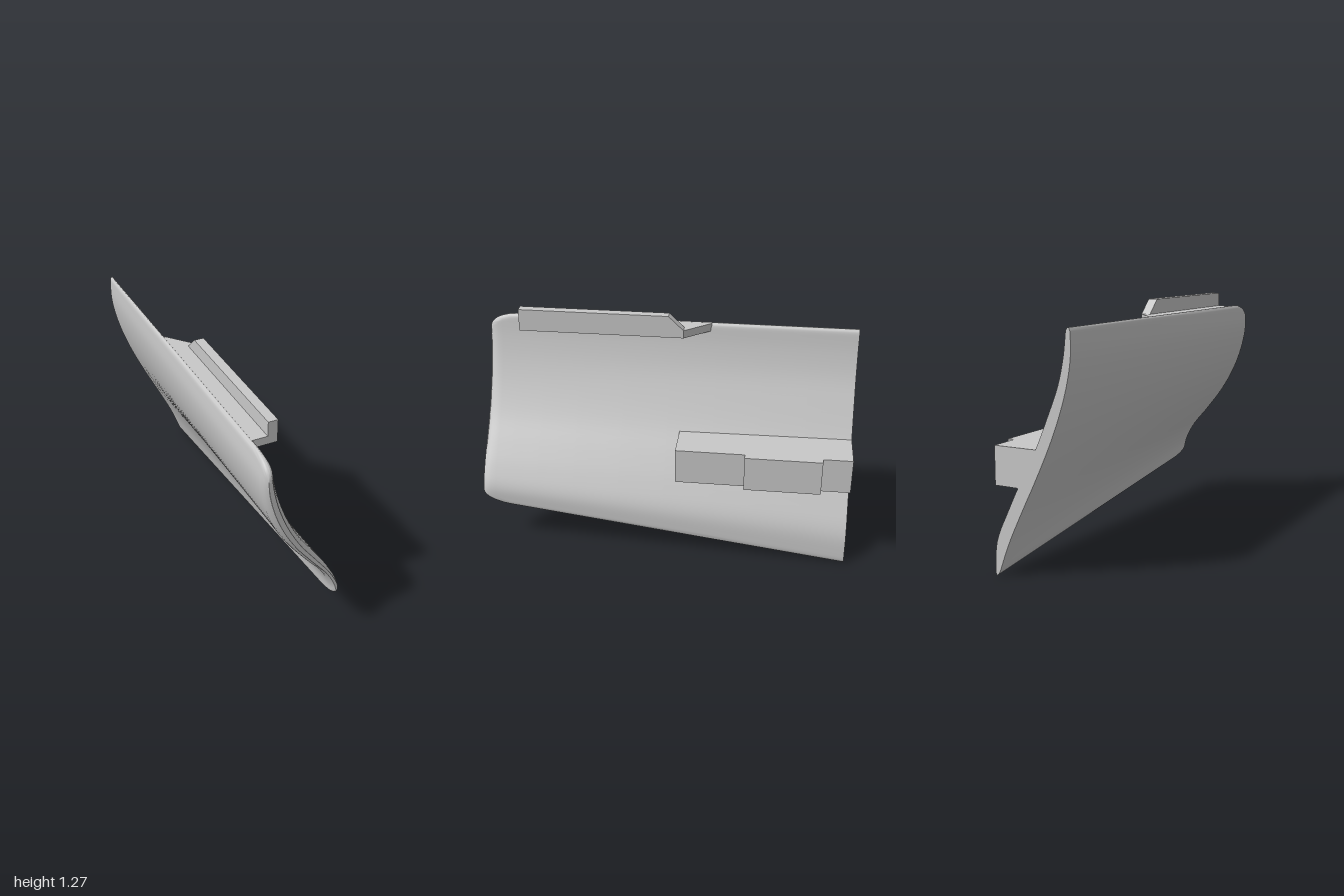
import * as THREE from 'three';
import { toCreasedNormals } from 'three/addons/utils/BufferGeometryUtils.js';

// Builds a smooth curve from [x, y] pairs
const curve = (pts) => new THREE.CatmullRomCurve3(pts.map(([x, y]) => new THREE.Vector3(x, y, 0)));

// Panel cross-sections, top to bottom: outer and inner skins at the front and back ends
const frontOuter = curve([[-0.228, 1.2], [-0.24, 1.08], [-0.22, 0.95], [-0.17, 0.81], [-0.09, 0.67], [0.01, 0.54], [0.11, 0.42], [0.16, 0.32], [0.175, 0.24]]);
const frontInner = curve([[-0.2, 1.2], [-0.18, 1.08], [-0.145, 0.95], [-0.09, 0.81], [-0.015, 0.67], [0.07, 0.55], [0.15, 0.43], [0.198, 0.33], [0.2, 0.24]]);
const backOuter = curve([[-0.222, 1.2], [-0.222, 1.07], [-0.2, 0.94], [-0.155, 0.79], [-0.095, 0.64], [-0.02, 0.48], [0.06, 0.32], [0.135, 0.16], [0.195, 0]]);
const backInner = curve([[-0.2, 1.2], [-0.185, 1.07], [-0.155, 0.94], [-0.1, 0.8], [-0.03, 0.64], [0.05, 0.49], [0.13, 0.33], [0.2, 0.17], [0.215, 0]]);

const round = (s) => Math.sqrt(Math.max(0, 1 - s * s));

// Lofted panel with rounded rims, rounded front corners and a flat back end
function panelGeometry() {
  const stations = [-1, -0.75, -0.5, -0.25, 0, 0.25, 0.5, 0.7, 0.85, 0.89, 0.93, 0.955, 0.975, 0.99, 0.997, 1];
  const S = 48;
  const n = 2 * (S + 1);
  const pos = [];
  const index = [];
  for (const z of stations) {
    const k = (z + 1) / 2;
    const corner = 1 - round(Math.max(0, (z - 0.85) / 0.15));
    const rim = Math.max(0.35, round(Math.max(0, (z - 0.95) / 0.05)));
    const outer = [];
    const inner = [];
    for (let i = 0; i <= S; i++) {
      const u = (1 - Math.cos((Math.PI * i) / S)) / 2;
      const t = 0.085 * corner + u * (1 - 0.17 * corner);
      const o = backOuter.getPoint(t).lerp(frontOuter.getPoint(t), k);
      const q = backInner.getPoint(t).lerp(frontInner.getPoint(t), k);
      const mid = o.clone().add(q).multiplyScalar(0.5);
      const edge = Math.min(u, 1 - u);
      const thick = Math.max(0.1, round(Math.max(0, 1 - edge / 0.025))) * rim;
      o.sub(mid).multiplyScalar(thick).add(mid);
      q.sub(mid).multiplyScalar(thick).add(mid);
      outer.push([o.x, o.y, z]);
      inner.unshift([q.x, q.y, z]);
    }
    pos.push(...outer.flat(), ...inner.flat());
  }
  const last = stations.length - 1;
  for (let j = 0; j < last; j++) {
    for (let i = 0; i < n; i++) {
      const a = j * n + i;
      const b = j * n + ((i + 1) % n);
      index.push(a, b, b + n, a, b + n, a + n);
    }
  }
  // End caps join matching outer and inner points
  for (let i = 0; i < S; i++) {
    const a = i, b = n - 1 - i, c = n - 2 - i, d = i + 1;
    const f = last * n;
    index.push(a, b, c, a, c, d);
    index.push(f + a, f + c, f + b, f + a, f + d, f + c);
  }
  const g = new THREE.BufferGeometry();
  g.setAttribute('position', new THREE.Float32BufferAttribute(pos, 3));
  g.setIndex(index);
  return toCreasedNormals(g, 0.7);
}

// Straight prism from a flat outline
function prism(points, depth) {
  const shape = new THREE.Shape(points.map(([x, y]) => new THREE.Vector2(x, y)));
  return new THREE.ExtrudeGeometry(shape, { depth, bevelEnabled: false });
}

export function createModel() {
  const model = new THREE.Group();
  model.name = 'curvedPanel';
  const grey = new THREE.MeshStandardMaterial({ color: 0xc8c8c8 });
  grey.name = 'grey';
  const add = (name, geometry) => {
    const mesh = new THREE.Mesh(geometry, grey);
    mesh.name = name;
    model.add(mesh);
    return mesh;
  };

  add('panel', panelGeometry());

  // Top rail: flat ledge with a slanted tail (outline in x, -z)
  const ledge = add('railLedge', prism([[-0.21, -0.805], [-0.08, -0.805], [-0.08, 0.08], [-0.2, 0.22], [-0.21, 0.22]], 0.043));
  ledge.rotation.x = -Math.PI / 2;
  ledge.position.y = 1.156;

  // Upright lip with a sloping back end (outline in -z, y)
  const lip = add('railLip', prism([[-0.805, 1.156], [0.08, 1.156], [0.08, 1.199], [0, 1.275], [-0.805, 1.275]], 0.05));
  lip.rotation.y = Math.PI / 2;
  lip.position.x = -0.13;

  // Inner bracket, its slanted side buried in the panel
  const bracket = add('bracket', prism([[-0.045, 0.635], [0.035, 0.443], [0.203, 0.443], [0.203, 0.635]], 0.93));
  bracket.position.z = -1;

  // Raised pad on the bracket
  const pad = add('bracketPad', new THREE.BoxGeometry(0.06, 0.192, 0.406));
  pad.position.set(0.209, 0.539, -0.641);

  return model;
}
